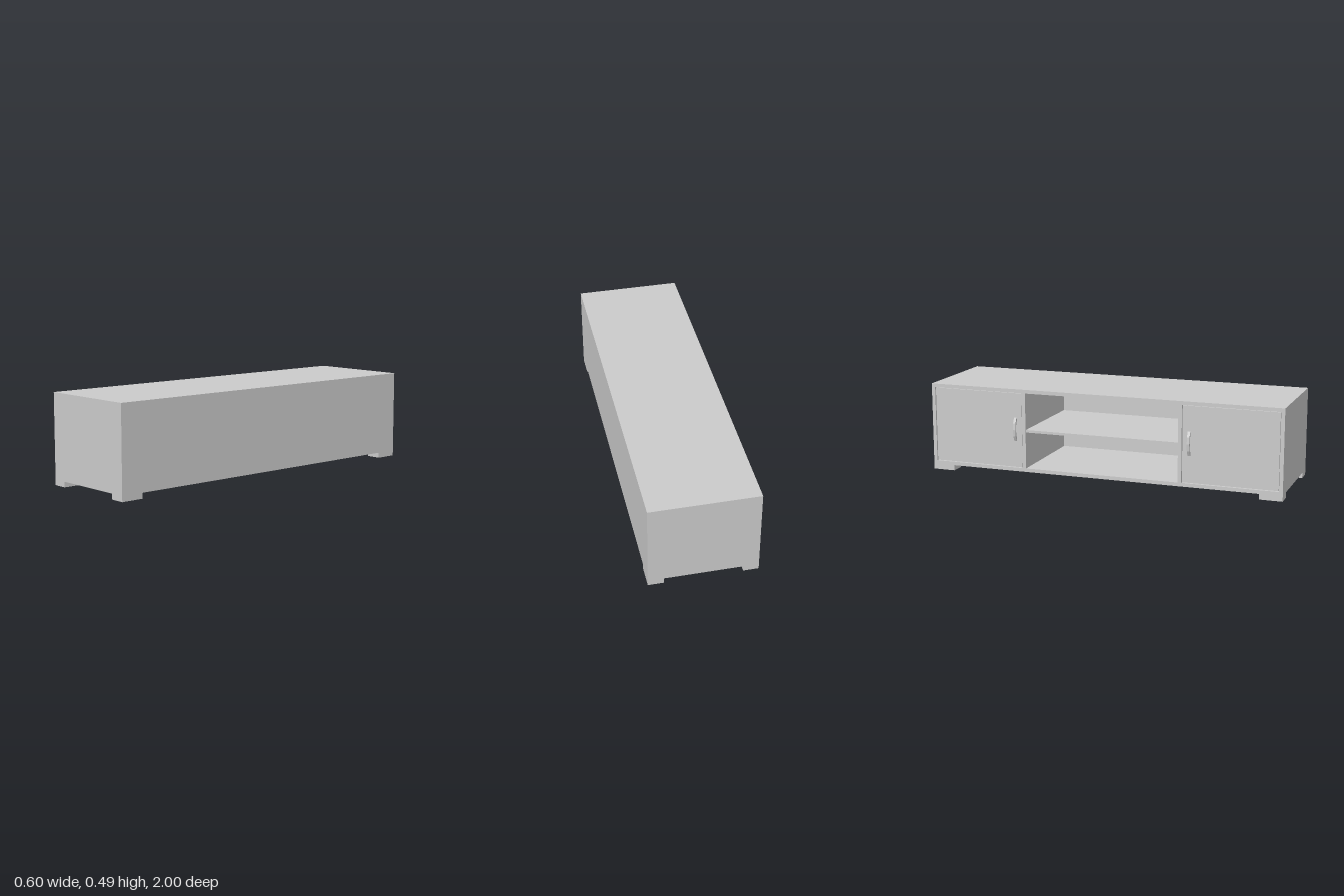
import * as THREE from 'three';

const X0 = -0.28, X1 = 0.297, Y0 = 0.03, Y1 = 0.49, T = 0.02;

export function createModel() {
  const cabinet = new THREE.Group();
  cabinet.name = 'mediaCabinet';
  const material = new THREE.MeshStandardMaterial({ color: 0xcccccc });
  const openMaterial = new THREE.MeshStandardMaterial({ color: 0xcccccc, side: THREE.DoubleSide });

  const add = (name, geometry, mat = material) => {
    const mesh = new THREE.Mesh(geometry, mat);
    mesh.name = name;
    cabinet.add(mesh);
    return mesh;
  };

  // Box given by its lower and upper limits on each axis
  const board = (name, [xa, xb], [ya, yb], [za, zb]) => {
    const g = new THREE.BoxGeometry(xb - xa, yb - ya, zb - za);
    g.translate((xa + xb) / 2, (ya + yb) / 2, (za + zb) / 2);
    return add(name, g);
  };

  // Carcass, open towards -x
  board('topBoard', [X0, X1], [Y1 - T, Y1], [-1, 1]);
  board('bottomBoard', [X0, X1], [Y0, Y0 + T], [-1, 1]);
  board('rearPanel', [X1 - T, X1], [Y0 + T, Y1 - T], [-1, 1]);

  // Shelf between the two partitions
  board('shelf', [X0 + 0.004, X1 - T], [0.252, 0.266], [-0.435, 0.435]);

  // Handle: a faceted bow standing out from the door
  const bow = new THREE.Shape([
    [-0.27, 0.332], [-0.281, 0.33], [-0.294, 0.302], [-0.298, 0.265],
    [-0.294, 0.228], [-0.281, 0.2], [-0.27, 0.198], [-0.27, 0.214],
    [-0.279, 0.222], [-0.285, 0.24], [-0.288, 0.265], [-0.285, 0.29],
    [-0.279, 0.308], [-0.27, 0.316],
  ].map(([x, y]) => new THREE.Vector2(x, y)));
  const bowGeometry = new THREE.ExtrudeGeometry(bow, { depth: 0.014, bevelEnabled: false });
  bowGeometry.translate(0, 0, -0.007);

  // Foot: square sleeve, open underneath
  const [w, h, d] = [0.082, Y0, 0.125];
  const footOutline = new THREE.Shape();
  footOutline.moveTo(-w / 2, -d / 2).lineTo(w / 2, -d / 2).lineTo(w / 2, d / 2).lineTo(-w / 2, d / 2).closePath();
  const rim = 0.012;
  const hollow = new THREE.Path();
  hollow.moveTo(-w / 2 + rim, -d / 2 + rim).lineTo(-w / 2 + rim, d / 2 - rim)
    .lineTo(w / 2 - rim, d / 2 - rim).lineTo(w / 2 - rim, -d / 2 + rim).closePath();
  footOutline.holes.push(hollow);
  const footGeometry = new THREE.ExtrudeGeometry(footOutline, { depth: h, bevelEnabled: false });
  footGeometry.rotateX(-Math.PI / 2);

  // Parts mirrored at both ends
  for (const s of [-1, 1]) {
    const end = s < 0 ? 'Back' : 'Front';
    const span = (a, b) => (s > 0 ? [a, b] : [-b, -a]);
    board('endPanel' + end, [X0, X1 - T], [Y0 + T, Y1 - T], span(1 - T, 1));
    board('partition' + end, [X0, X1 - T], [Y0 + T, Y1 - T], span(0.435, 0.455));
    board('door' + end, [X0 + 0.004, X0 + 0.02], [Y0 + T + 0.003, Y1 - T - 0.003], span(0.458, 0.977));
    add('handle' + end, bowGeometry).position.z = s * 0.495;
    for (const [side, x] of [['Right', X0 + w / 2], ['Left', X1 - w / 2]]) {
      add('foot' + end + side, footGeometry, openMaterial).position.set(x, 0, s * (1 - d / 2));
    }
  }
  return cabinet;
}
